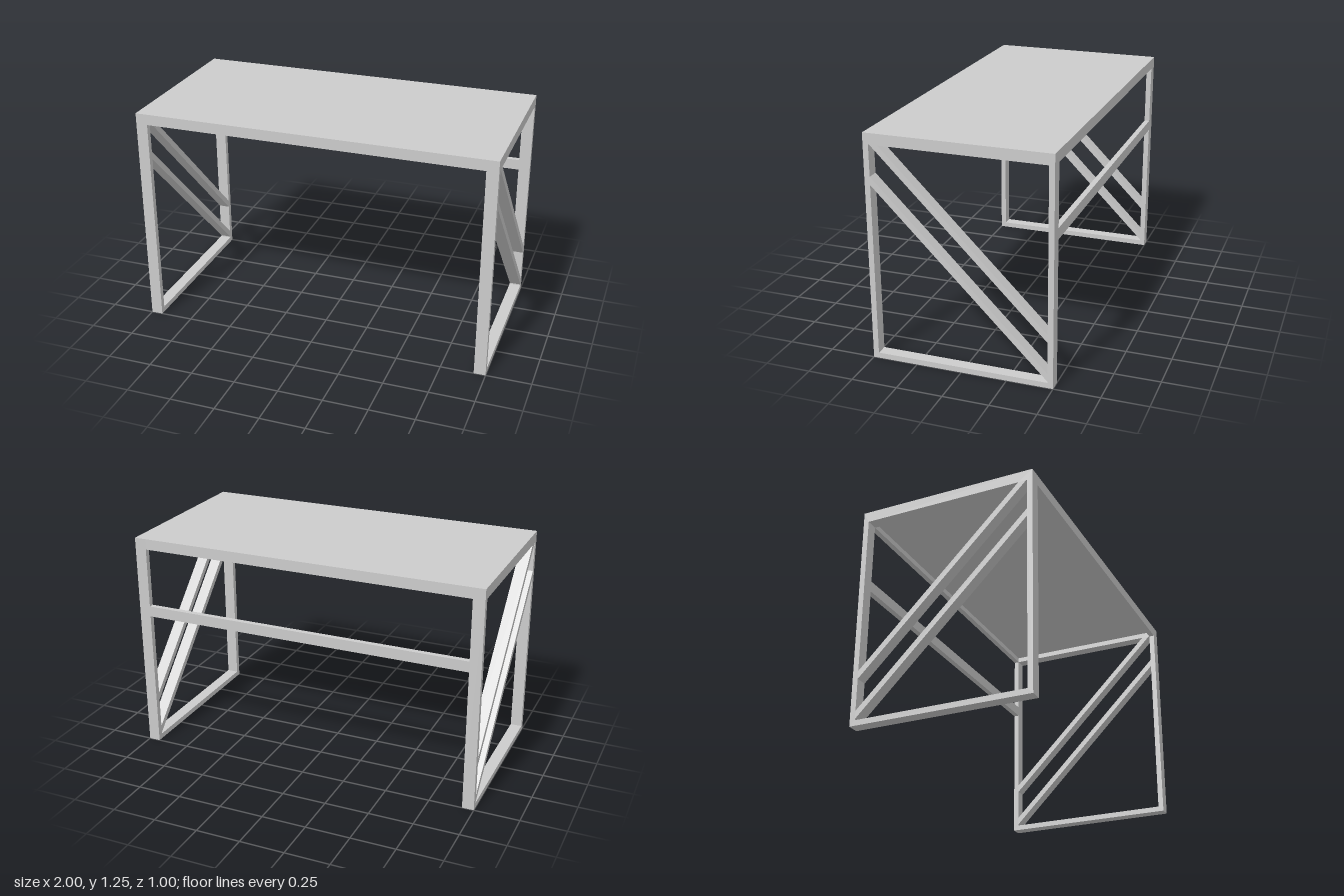
import * as THREE from 'three';

const W = 2, H = 1.25, D = 1;   // overall size
const TUBE = 0.065;             // wide face of the bars (along x)
const THIN = 0.03;              // narrow face of the bars
const RAIL = 0.06;              // height of the rails under the top
const material = new THREE.MeshStandardMaterial({ color: 0xcccccc });

function addBox(group, name, size, position) {
  const mesh = new THREE.Mesh(new THREE.BoxGeometry(...size), material);
  mesh.name = name;
  mesh.position.set(...position);
  group.add(mesh);
}

const points = (list) => list.map(([z, y]) => new THREE.Vector2(z, y));

// Side frame profile in (z, y): legs, foot bar, top rail and two slanted braces
function sideFrameGeometry() {
  const zi = D / 2 - THIN, top = H - RAIL;
  const shape = new THREE.Shape(points([[-D / 2, 0], [D / 2, 0], [D / 2, H], [-D / 2, H]]));
  // Brace edges follow y = z + c
  const [upperTop, upperLow, lowTop, lowLow] = [0.77, 0.726, 0.551, 0.507];
  const openings = [
    [[-zi, upperTop - zi], [top - upperTop, top], [-zi, top]],
    [[-zi, lowTop - zi], [zi, lowTop + zi], [zi, top], [top - upperLow, top], [-zi, upperLow - zi]],
    [[-zi, THIN], [zi, THIN], [zi, lowLow + zi], [-zi, lowLow - zi]],
  ];
  for (const o of openings) shape.holes.push(new THREE.Path(points(o)));
  const geometry = new THREE.ExtrudeGeometry(shape, { depth: TUBE, bevelEnabled: false });
  geometry.translate(0, 0, -TUBE / 2);
  geometry.rotateY(-Math.PI / 2);
  return geometry;
}

export function createModel() {
  const desk = new THREE.Group();
  desk.name = 'desk';
  const innerW = W - 2 * TUBE;

  // Braced side frames
  const frame = sideFrameGeometry();
  for (const [name, s] of [['leftSideFrame', 1], ['rightSideFrame', -1]]) {
    const mesh = new THREE.Mesh(frame, material);
    mesh.name = name;
    mesh.position.x = s * (W - TUBE) / 2;
    desk.add(mesh);
  }

  // Front and back rails under the top
  for (const [name, s] of [['frontRail', 1], ['backRail', -1]]) {
    addBox(desk, name, [innerW, RAIL, THIN], [0, H - RAIL / 2, s * (D - THIN) / 2]);
  }

  // Table top panel set into the rails
  addBox(desk, 'topPanel', [innerW, THIN, D - 2 * THIN], [0, H - THIN / 2, 0]);

  // Crossbar between the back legs
  addBox(desk, 'backCrossbar', [innerW, RAIL, THIN], [0, 0.823, -(D - THIN) / 2]);

  return desk;
}
